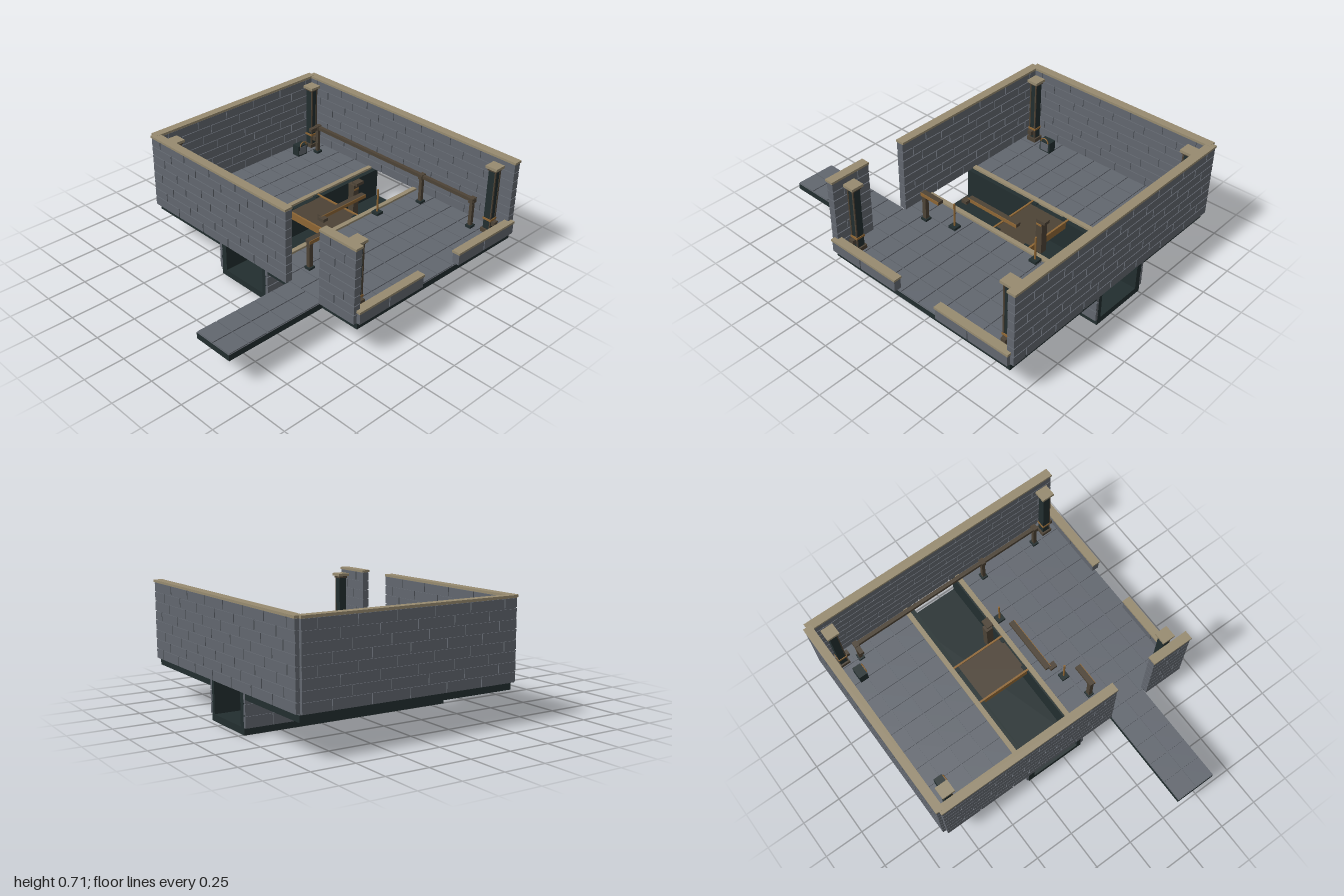
import * as THREE from 'three';
import { mergeGeometries } from 'three/addons/utils/BufferGeometryUtils.js';

const mat = (name, color) => {
  const m = new THREE.MeshStandardMaterial({ color });
  m.name = name;
  return m;
};

export function createModel() {
  const root = new THREE.Group();
  root.name = 'stoneRoom';
  const stone = mat('stone', 0x62676f);
  const dark = mat('darkIron', 0x222e2f);
  const tan = mat('sandstone', 0x978b70);
  const brown = mat('agedBronze', 0x4d4336);
  const copper = mat('copper', 0x8e6634);

  // Box geometry from its lower and upper limits on each axis
  const block = (x0, x1, y0, y1, z0, z1) =>
    new THREE.BoxGeometry(x1 - x0, y1 - y0, z1 - z0)
      .translate((x0 + x1) / 2, (y0 + y1) / 2, (z0 + z1) / 2);
  const add = (name, material, geometry, parent = root) => {
    const mesh = new THREE.Mesh(geometry, material);
    mesh.name = name;
    parent.add(mesh);
    return mesh;
  };
  const box = (name, material, ...limits) => add(name, material, block(...limits));

  // Staggered courses of blocks over a recessed core, running along x or z
  const brickWall = (name, axis, a0, a1, mid, y0, y1, rows, thick = 0.046) => {
    const parts = [];
    const put = (s, e, b, t, half) => parts.push(axis === 'x'
      ? block(s, e, b, t, mid - half, mid + half)
      : block(mid - half, mid + half, b, t, s, e));
    const gap = 0.004, step = 0.23, h = (y1 - y0) / rows;
    put(a0 + 0.004, a1 - 0.004, y0, y1, thick / 2 - 0.006);
    for (let r = 0; r < rows; r++) {
      let s = a0;
      let e = a0 + step * [1, 0.5, 0.8, 0.35][r % 4];
      while (s < a1 - 0.001) {
        if (a1 - e < 0.05) e = a1;
        put(s + (s > a0 ? gap : 0), e - (e < a1 ? gap : 0),
          y0 + r * h + (r ? gap : 0), y0 + (r + 1) * h - gap * 0.5, thick / 2);
        s = e;
        e += step;
      }
    }
    add(name, stone, mergeGeometries(parts));
  };

  // Dark slab topped with a grid of stone tiles
  const tiledSlab = (name, x0, x1, z0, z1, nx, nz) => {
    box(name + 'Base', dark, x0, x1, 0.195, 0.232, z0, z1);
    const parts = [block(x0, x1, 0.232, 0.234, z0, z1)];
    const w = (x1 - x0) / nx, d = (z1 - z0) / nz, g = 0.003;
    for (let i = 0; i < nx; i++)
      for (let j = 0; j < nz; j++)
        parts.push(block(x0 + i * w + g, x0 + (i + 1) * w - g, 0.234, 0.24,
          z0 + j * d + g, z0 + (j + 1) * d - g));
    add(name + 'Tiles', stone, mergeGeometries(parts));
  };
  tiledSlab('frontFloor', -0.34, 0.97, 0.14, 0.85, 10, 5);
  tiledSlab('rearFloor', -0.34, 0.97, -0.85, -0.27, 10, 4);
  tiledSlab('walkway', -1, -0.34, 0.33, 0.59, 5, 2);

  // Channel crossing under the room
  box('channelBed', dark, -0.34, 0.97, 0, 0.04, -0.26, 0.13);
  for (const [side, z] of [[1, 0.1], [-1, -0.24]]) {
    const mid = side > 0 ? 0.136 : -0.266;
    box('channelLining', dark, -0.34, 0.97, 0.04, 0.236, z - (side < 0 ? 0.02 : 0), z + (side > 0 ? 0.03 : 0.02));
    brickWall('channelBricks', 'x', -0.34, 0.97, mid, 0.04, 0.236, 3, 0.02);
    const c = side > 0 ? 0.125 : -0.265;
    box('channelCoping', tan, -0.322, 0.945, 0.236, 0.25, c - 0.015, c + 0.015);
  }

  // Bridge with copper edges and dark corner plates
  box('bridgeDeck', brown, 0.18, 0.44, 0.192, 0.235, -0.25, 0.11);
  for (const x of [0.174, 0.446])
    box('bridgeEdge', copper, x - 0.006, x + 0.006, 0.195, 0.242, -0.25, 0.11);
  for (const x of [0.198, 0.422])
    for (const z of [-0.238, 0.098])
      box('bridgeCornerPlate', dark, x - 0.017, x + 0.017, 0.235, 0.241, z - 0.012, z + 0.012);

  // High walls, with a doorway on the walkway side
  brickWall('backWall', 'x', -0.345, 0.97, -0.853, 0.24, 0.7, 8);
  brickWall('leftWall', 'z', -0.855, 0.85, 0.97, 0.24, 0.7, 8);
  brickWall('rightWall', 'z', -0.855, 0.33, -0.345, 0.24, 0.7, 8);
  brickWall('rightWallEnd', 'z', 0.59, 0.85, -0.345, 0.24, 0.7, 8);
  box('backCoping', tan, -0.35, 0.972, 0.7, 0.715, -0.88, -0.828);
  box('leftCoping', tan, 0.943, 0.998, 0.7, 0.714, -0.86, 0.855);
  box('rightCoping', tan, -0.373, -0.318, 0.7, 0.714, -0.86, 0.33);
  box('rightEndCoping', tan, -0.373, -0.318, 0.7, 0.714, 0.588, 0.855);

  // Low front walls
  for (const [x0, x1] of [[-0.345, 0.16], [0.467, 0.97]]) {
    brickWall('lowFrontWall', 'x', x0, x1, 0.85, 0.24, 0.308, 1);
    box('lowFrontCoping', tan, x0 - 0.005, x1 + 0.005, 0.308, 0.322, 0.823, 0.877);
  }

  // Corner columns
  for (const x of [-0.259, 0.884])
    for (const z of [-0.763, 0.758]) {
      const column = new THREE.Group();
      column.name = 'column';
      column.position.set(x, 0, z);
      root.add(column);
      add('columnBase', brown, block(-0.034, 0.034, 0.24, 0.265, -0.034, 0.034), column);
      add('columnShaft', dark, block(-0.024, 0.024, 0.265, 0.668, -0.024, 0.024), column);
      for (const sx of [-1, 1])
        add('columnTrim', brown, block(sx * 0.02 - 0.005, sx * 0.02 + 0.005, 0.265, 0.668, 0.02, 0.027), column);
      add('columnNeck', brown, block(-0.03, 0.03, 0.655, 0.668, -0.03, 0.03), column);
      add('columnCap', tan, block(-0.038, 0.038, 0.668, 0.685, -0.04, 0.04), column);
      add('columnBracket', brown, block(-0.016, 0.016, 0.295, 0.325, 0.024, 0.052), column);
      add('columnBand', copper, block(-0.028, 0.028, 0.325, 0.338, -0.028, 0.03), column);
    }

  // Chests with an arched copper handle
  for (const x of [-0.115, 0.74]) {
    box('chest', dark, x - 0.04, x + 0.04, 0.24, 0.315, -0.75, -0.695);
    const handle = add('chestHandle', copper, new THREE.TorusGeometry(0.028, 0.004, 6, 16, Math.PI));
    handle.position.set(x, 0.312, -0.692);
    box('chestFront', stone, x - 0.03, x + 0.03, 0.25, 0.305, -0.695, -0.691);
  }

  // Long handrail beside the left wall
  box('handrail', brown, 0.833, 0.857, 0.415, 0.437, -0.67, 0.67);
  box('handrailReturn', brown, 0.775, 0.866, 0.413, 0.436, -0.675, -0.648);
  for (const z of [-0.66, 0.258, 0.652]) {
    box('handrailPost', brown, 0.834, 0.856, 0.24, 0.42, z - 0.011, z + 0.011);
    box('handrailFoot', dark, 0.823, 0.867, 0.24, 0.255, z - 0.02, z + 0.02);
    box('handrailCollar', brown, 0.825, 0.865, 0.408, 0.441, z - 0.015, z + 0.015);
  }

  // Broken rails near the bridge
  const brokenRail = (x0, x1, z0, z1) => {
    box('brokenRail', brown, x0, x1, 0.414, 0.435, z0, z1);
    box('brokenRailFace', copper, x0, x1, 0.414, 0.435, z1, z1 + 0.004);
  };
  brokenRail(-0.187, -0.042, 0.296, 0.33);
  brokenRail(0.05, 0.417, 0.15, 0.183);
  box('brokenRailElbow', brown, 0.03, 0.068, 0.413, 0.433, 0.172, 0.218);
  box('brokenRailPost', brown, -0.182, -0.155, 0.24, 0.414, 0.3, 0.326);
  box('brokenRailFoot', dark, -0.19, -0.147, 0.24, 0.254, 0.292, 0.334);

  // Slim copper posts on dark feet
  for (const [x, z] of [[0.01, 0.257], [0.547, 0.168]]) {
    box('slimPostFoot', dark, x - 0.025, x + 0.025, 0.24, 0.257, z - 0.025, z + 0.025);
    const post = add('slimPost', copper, new THREE.CylinderGeometry(0.006, 0.006, 0.155, 8));
    post.position.set(x, 0.333, z);
  }

  // Bridge control post
  box('controlPost', brown, 0.452, 0.496, 0.195, 0.425, 0.01, 0.055);
  box('controlPostCap', brown, 0.465, 0.525, 0.418, 0.437, 0.025, 0.068);
  box('controlPostTrim', copper, 0.456, 0.492, 0.39, 0.4, 0.055, 0.06);

  return root;
}
